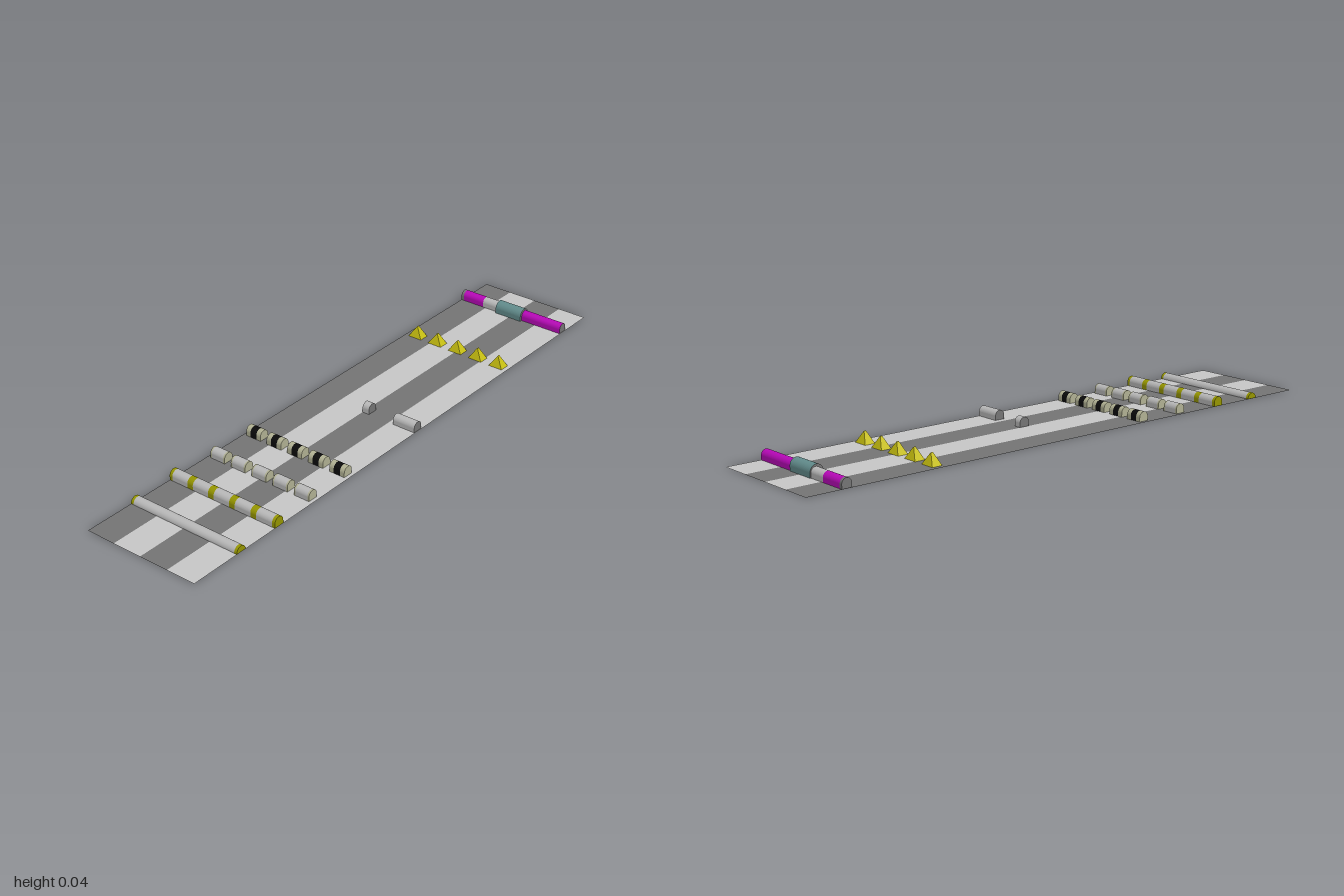
import * as THREE from 'three';

const mat = (name, color, side = THREE.FrontSide) => {
  const m = new THREE.MeshStandardMaterial({ color, side });
  m.name = name;
  return m;
};

export function createModel() {
  const M = {
    dark: mat('dark grey', 0x757575, THREE.DoubleSide),
    light: mat('light grey', 0xc8c8c8, THREE.DoubleSide),
    grey: mat('bar grey', 0xb9b9b9),
    olive: mat('olive', 0x969600),
    pale: mat('pale olive', 0xb2b294),
    black: mat('black', 0x0a0a0a),
    yellow: mat('yellow', 0xc6be10),
    teal: mat('teal', 0x628c8c),
    magenta: mat('magenta', 0xb808b8),
  };
  const root = new THREE.Group();
  root.name = 'track';
  const LIFT = 0.0005;
  const columns = [-0.167, -0.0835, 0, 0.0835, 0.167];

  const add = (parent, name, geometry, material, x, y, z) => {
    const mesh = new THREE.Mesh(geometry, material);
    mesh.name = name;
    mesh.position.set(x, y, z);
    parent.add(mesh);
    return mesh;
  };

  const row = (name) => {
    const g = new THREE.Group();
    g.name = name;
    root.add(g);
    return g;
  };

  // Round-topped bar running along x from x0 to x1
  const bar = (parent, name, x0, x1, z, h, w, side, cap = side) => {
    const r = w / 2;
    const s = new THREE.Shape();
    s.moveTo(-r, 0);
    s.lineTo(r, 0);
    s.lineTo(r, h - r);
    s.absarc(0, h - r, r, 0, Math.PI, false);
    s.closePath();
    const g = new THREE.ExtrudeGeometry(s, { depth: x1 - x0, bevelEnabled: false, curveSegments: 20 });
    g.rotateY(Math.PI / 2);
    add(parent, name, g, [cap, side], x0, LIFT, z);
  };

  // Bar with coloured bands at both ends
  const bandedBar = (parent, x0, x1, z, h, w, band, core, end) => {
    bar(parent, 'endBand', x0, x0 + band, z, h, w, end);
    bar(parent, 'barCore', x0 + band, x1 - band, z, h, w, core);
    bar(parent, 'endBand', x1 - band, x1, z, h, w, end);
  };

  // Striped flat sheet
  const sheet = row('sheet');
  for (let i = 0; i < 4; i++) {
    const g = new THREE.PlaneGeometry(0.104, 2).rotateX(-Math.PI / 2);
    add(sheet, 'lane', g, i % 2 ? M.light : M.dark, -0.156 + i * 0.104, 0, 0);
  }

  // Low full-width bar
  bandedBar(row('lowBar'), -0.208, 0.208, 0.805, 0.0195, 0.037, 0.01, M.grey, M.olive);

  // Full-width bar made of five banded segments
  const segmented = row('segmentedBar');
  for (let i = 0; i < 5; i++) {
    const x = -0.208 + i * 0.0832;
    bandedBar(segmented, x, x + 0.0832, 0.64, 0.032, 0.037, 0.011, M.grey, M.olive);
  }

  // Separate studs, plain and with a black belt
  const studs = row('studs');
  const beltedStuds = row('beltedStuds');
  for (const x of columns) {
    bandedBar(studs, x - 0.029, x + 0.029, 0.473, 0.032, 0.036, 0.006, M.grey, M.pale);
    bar(beltedStuds, 'studEnd', x - 0.029, x - 0.012, 0.307, 0.032, 0.036, M.pale);
    bar(beltedStuds, 'belt', x - 0.012, x + 0.012, 0.307, 0.032, 0.036, M.black);
    bar(beltedStuds, 'studEnd', x + 0.012, x + 0.029, 0.307, 0.032, 0.036, M.pale);
  }

  // Two loose grey pieces
  const loose = row('loosePieces');
  bar(loose, 'shortPiece', 0, 0.026, -0.03, 0.032, 0.036, M.grey, M.dark);
  bar(loose, 'longPiece', 0.122, 0.206, -0.03, 0.032, 0.036, M.grey, M.dark);

  // Row of tapered spikes: the top of each box is squeezed to a short ridge
  const spikes = row('spikes');
  for (const x of columns) {
    const g = new THREE.BoxGeometry(0.052, 0.038, 0.037).toNonIndexed();
    const p = g.attributes.position;
    for (let i = 0; i < p.count; i++) {
      if (p.getY(i) > 0) {
        p.setX(i, p.getX(i) * 0.03);
        p.setZ(i, p.getZ(i) * 0.2);
      }
    }
    g.computeVertexNormals();
    add(spikes, 'spike', g, M.yellow, x, 0.019 + LIFT, -0.53);
  }

  // Coloured bar with a raised sleeve
  const rear = row('sleevedBar');
  const z = -0.862;
  bar(rear, 'endCap', -0.208, -0.198, z, 0.032, 0.035, M.dark);
  bar(rear, 'rightArm', -0.198, -0.115, z, 0.032, 0.035, M.magenta);
  bar(rear, 'collar', -0.115, -0.055, z, 0.032, 0.035, M.grey);
  bar(rear, 'sleeve', -0.055, 0.049, -0.859, 0.039, 0.047, M.teal, M.dark);
  bar(rear, 'leftArm', 0.049, 0.206, z, 0.032, 0.035, M.magenta, M.dark);

  return root;
}
